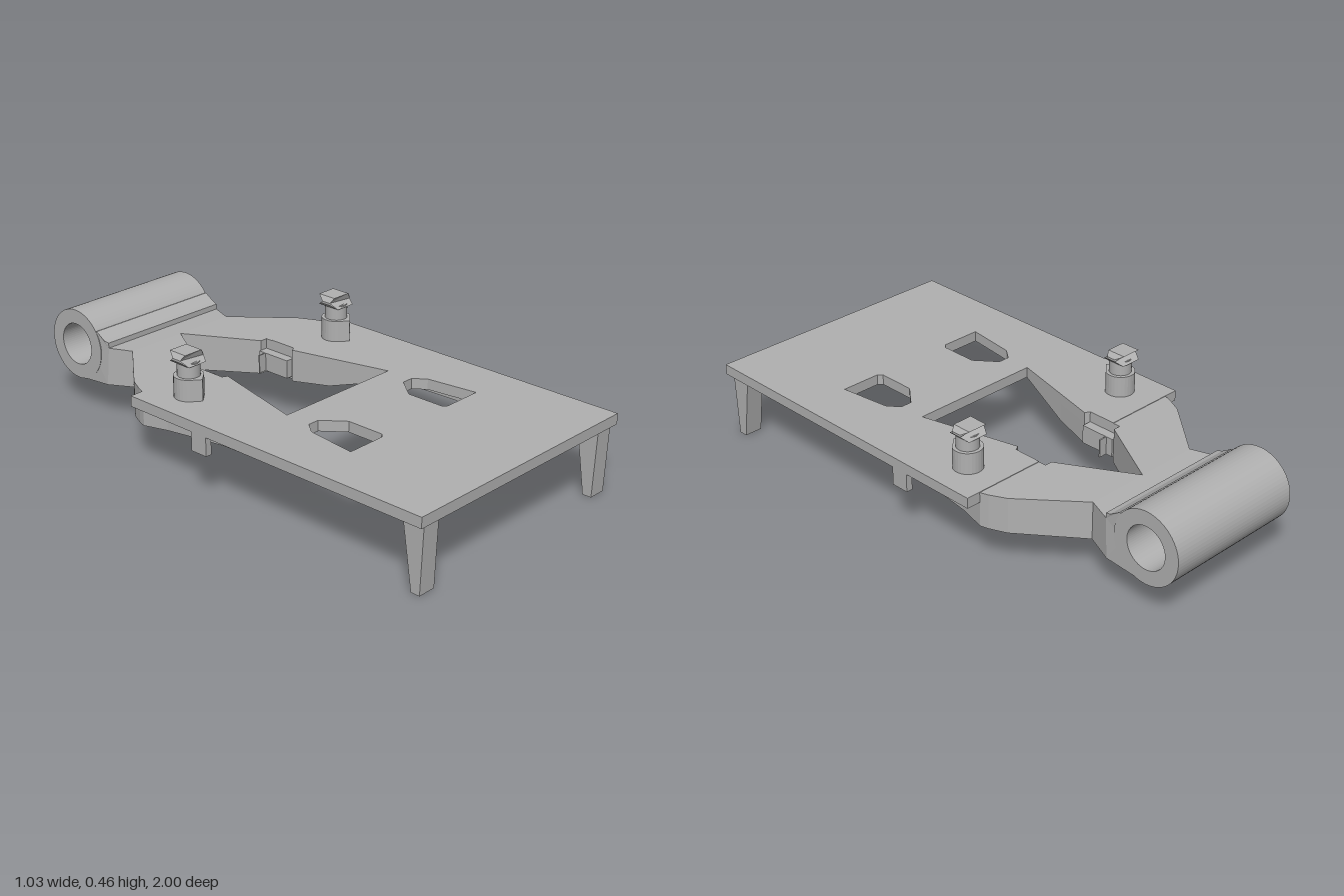
import * as THREE from 'three';

export function createModel() {
  const model = new THREE.Group();
  const grey = new THREE.MeshStandardMaterial({ color: 0xb0b0b0 });
  grey.name = 'plain grey';

  const add = (name, geometry, x = 0, y = 0, z = 0) => {
    const mesh = new THREE.Mesh(geometry, grey);
    mesh.name = name;
    mesh.position.set(x, y, z);
    model.add(mesh);
    return mesh;
  };
  const box = (name, x0, x1, y0, y1, z0, z1) =>
    add(name, new THREE.BoxGeometry(Math.abs(x1 - x0), y1 - y0, z1 - z0), (x0 + x1) / 2, (y0 + y1) / 2, (z0 + z1) / 2);
  const toPoints = (list) => list.map(([a, z]) => new THREE.Vector2(a, -z));

  // Plan outline [x, z] raised between two heights
  const plan = (points, y0, y1, holes = []) => {
    const shape = new THREE.Shape(toPoints(points));
    holes.forEach((h) => shape.holes.push(new THREE.Path(toPoints(h))));
    return new THREE.ExtrudeGeometry(shape, { depth: y1 - y0, bevelEnabled: false })
      .rotateX(-Math.PI / 2).translate(0, y0, 0);
  };
  // Side outline [z, y] stretched between two x positions
  const side = (points, x0, x1) => {
    const shape = new THREE.Shape(points.map(([z, y]) => new THREE.Vector2(-z, y)));
    return new THREE.ExtrudeGeometry(shape, { depth: x1 - x0, bevelEnabled: false })
      .rotateY(Math.PI / 2).translate(x0, 0, 0);
  };
  const bend = (geometry, rule) => {
    const p = geometry.attributes.position;
    const v = new THREE.Vector3();
    for (let i = 0; i < p.count; i++) {
      rule(v.fromBufferAttribute(p, i));
      p.setXYZ(i, v.x, v.y, v.z);
    }
    geometry.computeVertexNormals();
    return geometry;
  };
  const flip = (list, s) => list.map(([x, z]) => [x * s, z]);

  // Deck plate with its rear cut-out and two windows
  const half = [[0.515, 1], [0.515, -0.3], [0.184, -0.3], [0.184, -0.19], [0.165, -0.18], [0.26, 0.2]];
  const window_ = [[0.155, 0.385], [0.155, 0.53], [0.17, 0.545], [0.325, 0.545], [0.3, 0.35], [0.265, 0.305], [0.22, 0.305]];
  add('deckPlate', plan([...half, ...flip(half, -1).reverse()], 0.25, 0.29, [window_, flip(window_, -1)]));

  // Underside of the arms deepens towards the rear
  const depths = [[0.2, 0.248], [-0.03, 0.18], [-0.2, 0.165], [-0.35, 0.155], [-0.6, 0.145]];
  const bottomAt = (z) => {
    for (let i = 1; i < depths.length; i++) {
      const [z0, y0] = depths[i - 1], [z1, y1] = depths[i];
      if (z >= z1 - 1e-4) return THREE.MathUtils.mapLinear(z, z0, z1, y0, y1);
    }
    return 0.145;
  };
  const armOutline = [
    [0, -0.6], [0.155, -0.33], [0.184, -0.33], [0.184, -0.19], [0.165, -0.18], [0.203, -0.03], [0.26, 0.2],
    [0.43, 0.2], [0.43, -0.03], [0.44, -0.2], [0.46, -0.3], [0.45, -0.33], [0.42, -0.39], [0.24, -0.6],
  ];
  const ribProfile = [[0.75, 0.25], [0.6, 0.2], [0.07, 0.19], [-0.03, 0.18], [-0.03, 0.26], [0.75, 0.26]];

  for (const s of [1, -1]) {
    const label = s > 0 ? 'left' : 'right';
    add(label + 'Arm', bend(plan(flip(armOutline, s), 0, 0.288), (v) => {
      if (v.y < 0.1) v.y = bottomAt(v.z);
    }));
    add(label + 'Rib', side(ribProfile, s > 0 ? 0.39 : -0.43, s > 0 ? 0.43 : -0.39));
    box(label + 'EdgeClip', s * 0.49, s * 0.515, 0.18, 0.255, 0, 0.07);
    box(label + 'InnerLug', s * 0.147, s * 0.186, 0.18, 0.25, -0.33, -0.19);
    box(label + 'InnerTab', s * 0.115, s * 0.15, 0.18, 0.25, -0.303, -0.298);

    // Tapered front leg
    const leg = [[0.99, 0.255], [0.98, 0], [0.945, 0], [0.905, 0.255]];
    add(label + 'Leg', side(leg, s > 0 ? 0.42 : -0.49, s > 0 ? 0.49 : -0.42));

    // Post: pointed base, round neck and chamfered head
    const x = s * 0.375, z = -0.155;
    const base = [];
    for (let i = 0; i <= 20; i++) {
      const a = -0.7 - (i / 20) * (2 * Math.PI - 1.74);
      base.push([x + 0.054 * Math.sin(a), z + 0.054 * Math.cos(a)]);
    }
    base.push([x, -0.087]);
    add(label + 'PostBase', plan(base, 0.285, 0.37));
    add(label + 'PostNeck', new THREE.CylinderGeometry(0.041, 0.041, 0.06, 24), x, 0.395, z);
    const head = new THREE.Shape([
      [-0.04, 0.418], [0.04, 0.418], [0.054, 0.432], [0.054, 0.44], [0.038, 0.457],
      [-0.038, 0.457], [-0.054, 0.44], [-0.054, 0.432],
    ].map(([a, b]) => new THREE.Vector2(a, b)));
    const headGeometry = new THREE.ExtrudeGeometry(head, { depth: 0.095, bevelEnabled: false }).translate(0, 0, -0.05);
    add(label + 'PostHead', bend(headGeometry, (v) => {
      if (v.z > 0 && v.y > 0.435) v.z -= (v.y - 0.435) * 0.9;
      if (Math.abs(v.x) > 0.05) v.z *= 0.4;
    }), x, 0, z);
  }

  // Neck flaring out to the hinge barrel
  const neck = [
    [-0.6, 0.288], [-0.69, 0.285], [-0.69, 0.305], [-0.71, 0.31], [-0.75, 0.335], [-0.79, 0.325],
    [-0.77, 0.27], [-0.77, 0.24], [-0.79, 0.18], [-0.83, 0.126], [-0.7, 0.137], [-0.6, 0.145],
  ];
  add('hingeNeck', bend(side(neck, -1, 1), (v) => {
    v.x *= THREE.MathUtils.clamp(THREE.MathUtils.mapLinear(v.z, -0.6, -0.7, 0.24, 0.279), 0.24, 0.279);
  }));

  // Hollow hinge barrel
  const ring = new THREE.Shape().absarc(0, 0, 0.135, 0, Math.PI * 2);
  ring.holes.push(new THREE.Path().absarc(0, 0, 0.08, 0, Math.PI * 2, true));
  const barrel = new THREE.ExtrudeGeometry(ring, { depth: 0.56, bevelEnabled: false, curveSegments: 32 });
  add('hingeBarrel', barrel.rotateY(Math.PI / 2), -0.28, 0.255, -0.865);

  // Small stepped nub under the front of the deck
  add('underNub', side([[0.83, 0.252], [0.8, 0.235], [0.79, 0.225], [0.77, 0.225], [0.73, 0.252]], -0.06, 0.06));
  box('underPad', -0.1, 0.1, 0.244, 0.252, 0.7, 0.86);

  return model;
}
